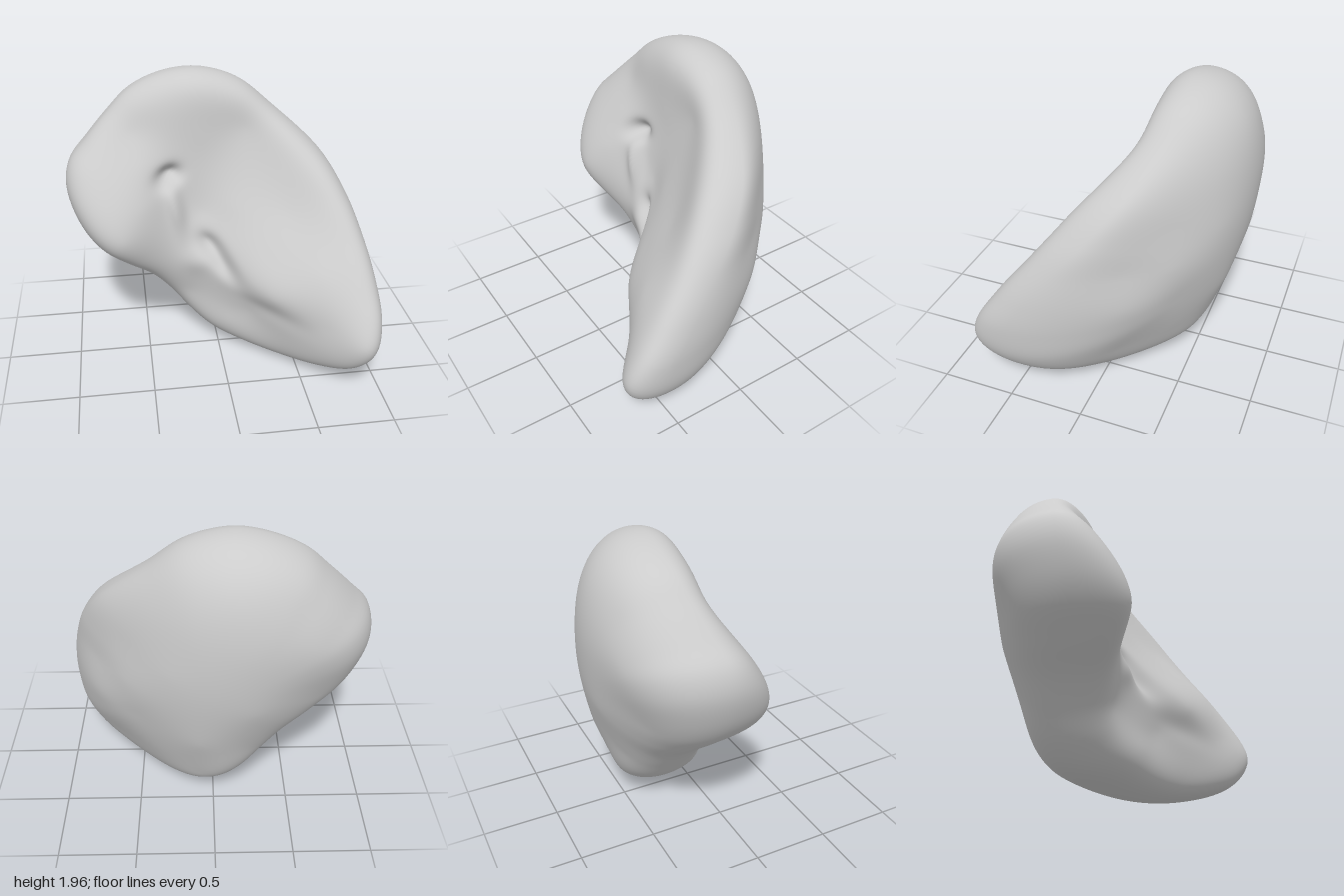
import * as THREE from 'three';

// Rim of the organ, counter-clockwise seen from the front: x, y, z
const RIM = [
  [-0.16, 1.96, -0.35], [-0.37, 1.92, -0.36], [-0.56, 1.83, -0.35], [-0.7, 1.7, -0.32], [-0.86, 1.53, -0.26],
  [-0.97, 1.4, -0.22], [-1, 1.25, -0.2], [-0.95, 1.05, -0.18], [-0.85, 0.88, -0.2], [-0.68, 0.72, -0.25],
  [-0.49, 0.56, -0.29], [-0.35, 0.4, -0.3], [-0.2, 0.22, -0.27], [-0.05, 0.1, -0.2], [0.15, 0.03, -0.09],
  [0.4, 0, 0.07], [0.65, 0.04, 0.27], [0.85, 0.14, 0.44], [0.97, 0.31, 0.53], [1, 0.52, 0.52],
  [0.98, 0.75, 0.38], [0.93, 0.97, 0.22], [0.85, 1.2, 0.03], [0.71, 1.43, -0.14], [0.4, 1.71, -0.3],
  [0.2, 1.87, -0.34], [0.02, 1.94, -0.35],
];
// Depth samples of the hollow front face: x, y, z
const FRONT = [
  [-0.15, 1.86, -0.18], [-0.45, 1.77, -0.19], [0.15, 1.81, -0.18], [-0.55, 1.6, -0.15], [-0.1, 1.55, -0.13],
  [0.2, 1.6, -0.14], [0.45, 1.53, -0.04], [0.2, 1.3, -0.04], [0.66, 1.32, 0.15], [0.45, 1.1, 0.18],
  [0.1, 1.1, 0.02], [0.83, 0.98, 0.42], [0.6, 0.8, 0.5], [0.3, 0.85, 0.29], [0.89, 0.68, 0.65],
  [0.83, 0.4, 0.79], [0.62, 0.47, 0.62], [0.72, 0.18, 0.66], [0.42, 0.32, 0.44], [0.4, 0.12, 0.36],
  [0.18, 0.4, 0.23], [0.05, 0.25, 0.14], [0.2, 0.66, 0.33], [0.3, 0.6, 0.42], [-0.02, 0.55, 0.12],
  [-0.18, 0.7, 0.06], [-0.2, 0.45, 0], [-0.1, 1.05, -0.04], [-0.3, 1.1, -0.01], [-0.4, 0.8, 0.08],
  [-0.5, 1.15, 0.09], [-0.65, 0.95, 0.19], [-0.86, 1.08, 0.1], [-0.82, 1.35, 0], [-0.5, 1.4, -0.03],
  [-0.3, 1.42, -0.09], [0.45, 0.56, 0.51],
];
// Depth samples of the domed back, with a blunt ridge running down to the low tip
const BACK = [
  [-0.2, 1.35, -0.79], [-0.6, 1.35, -0.72], [-0.82, 1.42, -0.57], [-0.1, 1.75, -0.69], [-0.5, 1.62, -0.68],
  [0.25, 1.5, -0.64], [0.28, 1.15, -0.67], [0.57, 0.98, -0.45], [0.55, 1.25, -0.43], [0.78, 0.74, -0.21],
  [0.77, 1.0, -0.19], [0.5, 0.7, -0.46], [0.9, 0.45, 0.08], [0.66, 0.3, -0.12], [0.4, 0.4, -0.42],
  [0.1, 0.6, -0.66], [0.1, 0.25, -0.52], [0.1, 0.11, -0.4], [0.4, 0.12, -0.24], [-0.25, 0.9, -0.74],
  [-0.65, 0.95, -0.59], [-0.25, 0.5, -0.57],
];
const CX = 0, CY = 1;          // hub of the rings
const SEGMENTS = 192, RINGS = 128;

// Thin-plate spline through scattered [x, y, z] samples
function spline(samples) {
  const n = samples.length, m = n + 3;
  const kernel = (dx, dy) => {
    const r2 = dx * dx + dy * dy;
    return r2 < 1e-9 ? 0 : r2 * Math.log(r2);
  };
  const basis = (x, y) => [...samples.map(p => kernel(x - p[0], y - p[1])), 1, x, y];
  const rows = samples.map(p => [...basis(p[0], p[1]), p[2]]);
  rows.forEach((row, i) => { row[i] += 0.002; });
  for (let k = 0; k < 3; k++) {
    rows.push([...samples.map(p => [1, p[0], p[1]][k]), 0, 0, 0, 0]);
  }
  for (let c = 0; c < m; c++) {
    let best = c;
    for (let r = c + 1; r < m; r++) if (Math.abs(rows[r][c]) > Math.abs(rows[best][c])) best = r;
    [rows[c], rows[best]] = [rows[best], rows[c]];
    for (let r = 0; r < m; r++) {
      if (r === c) continue;
      const f = rows[r][c] / rows[c][c];
      for (let k = c; k <= m; k++) rows[r][k] -= f * rows[c][k];
    }
  }
  const weights = rows.map((row, i) => row[m] / row[i]);
  return (x, y) => basis(x, y).reduce((sum, b, i) => sum + b * weights[i], 0);
}

// Rounds a face over into the rim; s runs from 0 at the hub to 1 at the rim
const roundOff = (s, power) => Math.sqrt(Math.max(0, 1 - s ** power));

// Face whose rounded surface passes through the samples
function makeFace(samples, rim, power) {
  const lifted = samples.map(([x, y, z]) => {
    const a = Math.atan2(y - CY, x - CX);
    let near = rim[0], gap = 9;
    for (const p of rim) {
      const d = 1 - Math.cos(Math.atan2(p.y - CY, p.x - CX) - a);
      if (d < gap) { gap = d; near = p; }
    }
    const s = Math.hypot(x - CX, y - CY) / Math.hypot(near.x - CX, near.y - CY);
    return [x, y, near.z + (z - near.z) / Math.max(0.4, roundOff(s, power))];
  });
  const field = spline(lifted);
  return (x, y, s, rimZ) => rimZ + (field(x, y) - rimZ) * roundOff(s, power);
}

// Soft oval swelling (height > 0) or hollow (height < 0) stretched from a to b
function swell(x, y, [ax, ay], [bx, by], width, height) {
  const half = Math.hypot(bx - ax, by - ay) / 2;
  const ux = (bx - ax) / (2 * half), uy = (by - ay) / (2 * half);
  const dx = x - (ax + bx) / 2, dy = y - (ay + by) / 2;
  const along = (dx * ux + dy * uy) / half, across = (dx * uy - dy * ux) / width;
  return height * Math.exp(-along * along - across * across);
}

// Vessel entry: pit, ridge below it, slanting groove and knob beside the groove
function hilum(x, y) {
  return swell(x, y, [-0.4, 1.29], [-0.25, 1.34], 0.06, -0.1)
    + swell(x, y, [-0.32, 1.27], [-0.25, 0.95], 0.05, 0.05)
    + swell(x, y, [-0.13, 0.9], [0.0, 0.78], 0.06, -0.06)
    + swell(x, y, [-0.04, 0.82], [0.09, 0.62], 0.06, -0.06)
    + swell(x, y, [-0.24, 0.76], [-0.06, 0.7], 0.09, 0.02)
    + swell(x, y, [0.1, 0.52], [0.48, 0.42], 0.07, -0.02);
}

function organGeometry() {
  const curve = new THREE.CatmullRomCurve3(RIM.map(p => new THREE.Vector3(...p)), true);
  const rim = curve.getSpacedPoints(SEGMENTS).slice(0, SEGMENTS);
  const front = makeFace(FRONT, rim, 10);
  const back = makeFace(BACK, rim, 4.5);
  const positions = [], indices = [];

  // Rings grow from the front hub to the rim, then shrink to the back hub
  for (let j = 0; j <= RINGS; j++) {
    const s = Math.max(0.001, Math.sin(Math.PI * j / RINGS));
    for (const p of rim) {
      const x = CX + (p.x - CX) * s, y = CY + (p.y - CY) * s;
      const z = j <= RINGS / 2
        ? front(x, y, s, p.z) + hilum(x, y) * roundOff(s, 10)
        : back(x, y, s, p.z);
      positions.push(x, y, z);
    }
  }
  for (let j = 0; j < RINGS; j++) {
    for (let i = 0; i < SEGMENTS; i++) {
      const next = (i + 1) % SEGMENTS;
      const a = j * SEGMENTS + i, b = j * SEGMENTS + next;
      const c = a + SEGMENTS, d = b + SEGMENTS;
      indices.push(a, c, d, a, d, b);
    }
  }
  const geometry = new THREE.BufferGeometry();
  geometry.setAttribute('position', new THREE.Float32BufferAttribute(positions, 3));
  geometry.setIndex(indices);
  geometry.computeVertexNormals();
  return geometry;
}

export function createModel() {
  const group = new THREE.Group();
  group.name = 'spleen';
  const body = new THREE.Mesh(organGeometry(), new THREE.MeshStandardMaterial({ color: 0xcccccc }));
  body.name = 'organBody';
  group.add(body);
  return group;
}
